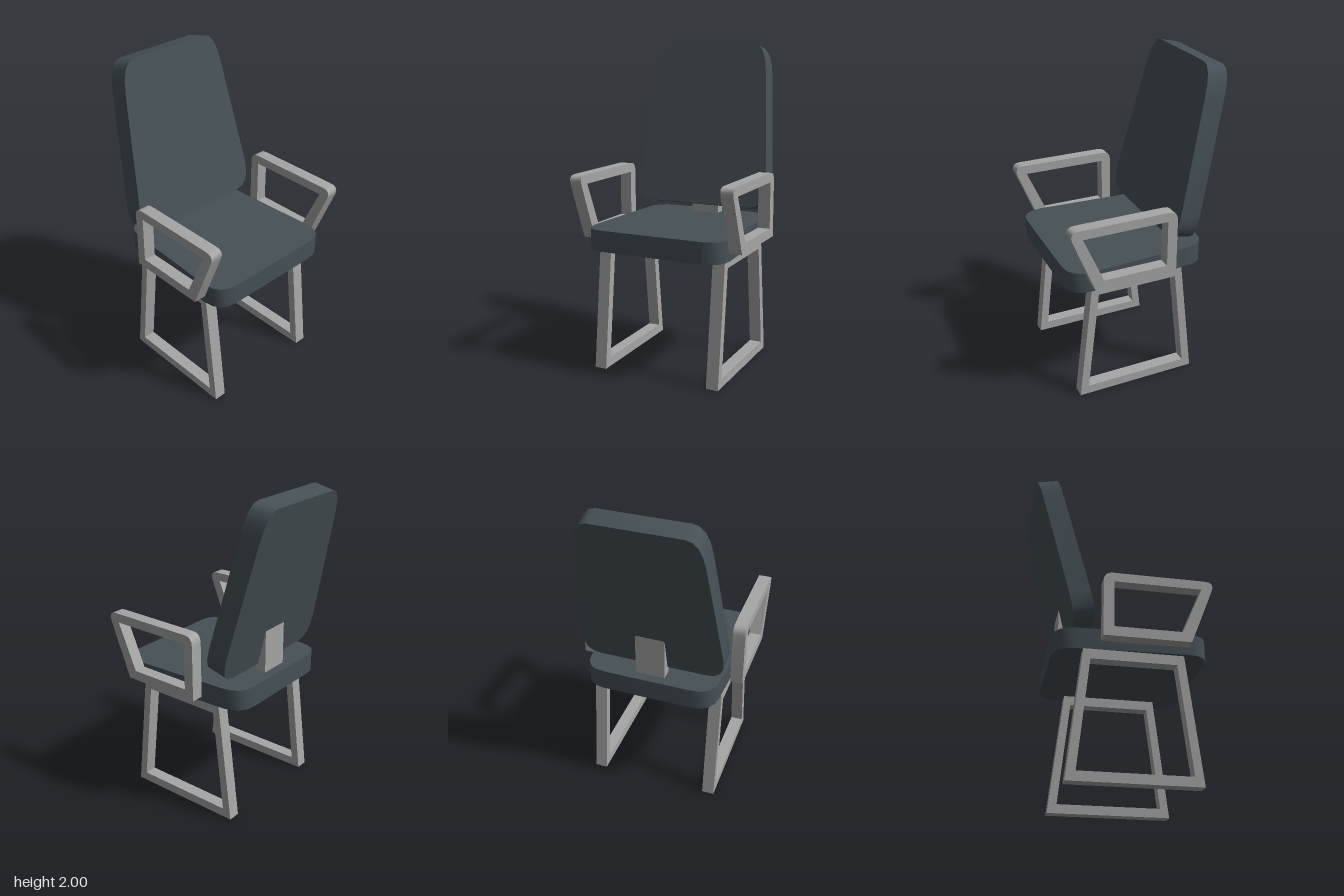
import * as THREE from 'three';
import { toCreasedNormals } from 'three/addons/utils/BufferGeometryUtils.js';

const cushionMat = new THREE.MeshStandardMaterial({ name: 'slate upholstery', color: 0x455056 });
const frameMat = new THREE.MeshStandardMaterial({ name: 'grey frame', color: 0xa6a6a6 });

// Outline from corners: [x, y] is sharp, [ax, ay, cx, cy, bx, by] is rounded from a to b around c
function outline(corners, T = THREE.Shape) {
  const shape = new T();
  corners.forEach((c, i) => {
    if (i === 0) shape.moveTo(c[0], c[1]);
    else shape.lineTo(c[0], c[1]);
    if (c.length === 6) shape.quadraticCurveTo(c[2], c[3], c[4], c[5]);
  });
  shape.closePath();
  return shape;
}

// Complete a symmetric outline from its right-hand corners, listed bottom to top
function mirrored(right) {
  const left = [...right].reverse().map(([ax, ay, cx, cy, bx, by]) => [-bx, by, -cx, cy, -ax, ay]);
  return outline([...right, ...left]);
}

// Extrude with smooth rounded corners and sharp rims
function slab(shape, depth) {
  const geo = new THREE.ExtrudeGeometry(shape, { depth, bevelEnabled: false, curveSegments: 4 });
  return toCreasedNormals(geo, 0.75);
}

// Closed frame drawn in the (z, y) plane and extruded across x from x0 to x1
function sideFrame(name, outer, inner, x0, x1) {
  const shape = outline(outer);
  shape.holes.push(outline(inner, THREE.Path));
  const geo = slab(shape, x1 - x0);
  geo.rotateY(-Math.PI / 2).translate(x1, 0, 0);
  const mesh = new THREE.Mesh(geo, frameMat);
  mesh.name = name;
  return mesh;
}

export function createModel() {
  const chair = new THREE.Group();
  chair.name = 'chair';

  // Seat cushion, slightly narrower at the rear
  const seatShape = mirrored([
    [0.28, -0.395, 0.412, -0.395, 0.418, -0.26],
    [0.45, 0.38, 0.45, 0.515, 0.32, 0.515],
  ]);
  const seat = new THREE.Mesh(slab(seatShape, 0.13).rotateX(Math.PI / 2).translate(0, 0.9, 0), cushionMat);
  seat.name = 'seat';
  chair.add(seat);

  // Tapered backrest, leaning back
  const backShape = mirrored([
    [0.34, 0, 0.457, 0, 0.45, 0.16],
    [0.378, 0.86, 0.36, 1.054, 0.27, 1.054],
  ]);
  const backrest = new THREE.Mesh(slab(backShape, 0.13), cushionMat);
  backrest.name = 'backrest';
  backrest.rotation.x = -0.2346;
  backrest.position.set(0, 0.945, -0.28);
  chair.add(backrest);

  // Upright post joining seat and backrest
  const post = new THREE.Mesh(new THREE.BoxGeometry(0.186, 0.32, 0.071), frameMat);
  post.name = 'backrestPost';
  post.position.set(0, 1.01, -0.2985);
  chair.add(post);

  // Loop armrests
  const armOuter = [
    [0.385, 0.815],
    [-0.13, 0.815],
    [-0.13, 1.165, -0.13, 1.222, -0.073, 1.222],
    [0.48, 1.222, 0.545, 1.222, 0.52, 1.16],
  ];
  const armInner = [[0.333, 0.875], [0.458, 1.165], [-0.068, 1.165], [-0.068, 0.875]];
  chair.add(sideFrame('leftArmrest', armOuter, armInner, 0.448, 0.525));
  chair.add(sideFrame('rightArmrest', armOuter, armInner, -0.527, -0.45));

  // Sled leg frames
  const legOuter = [[0.454, 0], [-0.318, 0], [-0.228, 0.77], [0.364, 0.77]];
  const legInner = [[0.397, 0.057], [0.321, 0.71], [-0.186, 0.71], [-0.259, 0.057]];
  chair.add(sideFrame('leftLegFrame', legOuter, legInner, 0.335, 0.412));
  chair.add(sideFrame('rightLegFrame', legOuter, legInner, -0.425, -0.348));

  return chair;
}
